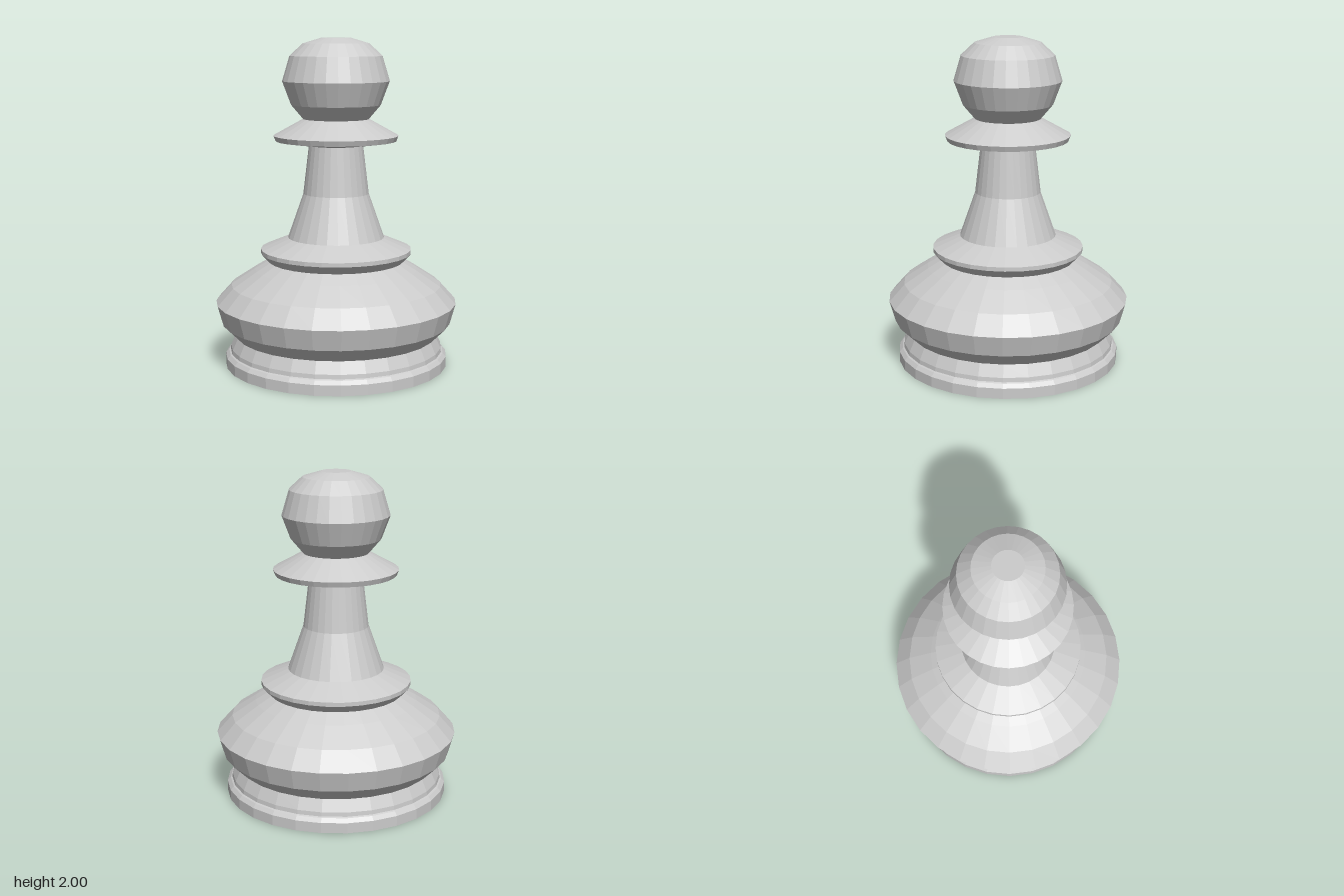
import * as THREE from 'three';

const SIDES = 28;

// Each part is a turned profile of [radius, height], from bottom to top.
const PROFILES = {
  foot: [[0, 0], [0.685, 0], [0.685, 0.063], [0.665, 0.085], [0.655, 0.09], [0.652, 0.115], [0.62, 0.185]],
  bulge: [[0.62, 0.185], [0.705, 0.27], [0.74, 0.395], [0.645, 0.5], [0.5, 0.595], [0.415, 0.645]],
  lowerCollar: [[0.415, 0.645], [0.462, 0.695], [0.462, 0.72], [0.295, 0.79]],
  stem: [[0.295, 0.79], [0.2, 1.06], [0.165, 1.355]],
  upperCollar: [[0.165, 1.355], [0.368, 1.383], [0.38, 1.415], [0.2, 1.515]],
  head: [[0.2, 1.515], [0.272, 1.6], [0.325, 1.742], [0.28, 1.893], [0.2, 1.967], [0.09, 2], [0, 2]],
};

export function createModel() {
  const model = new THREE.Group();
  model.name = 'pawn';
  const material = new THREE.MeshStandardMaterial({ color: 0xcccccc, flatShading: true });

  for (const [name, profile] of Object.entries(PROFILES)) {
    const points = profile.map(([r, y]) => new THREE.Vector2(r, y));
    const mesh = new THREE.Mesh(new THREE.LatheGeometry(points, SIDES), material);
    mesh.name = name;
    model.add(mesh);
  }
  return model;
}
